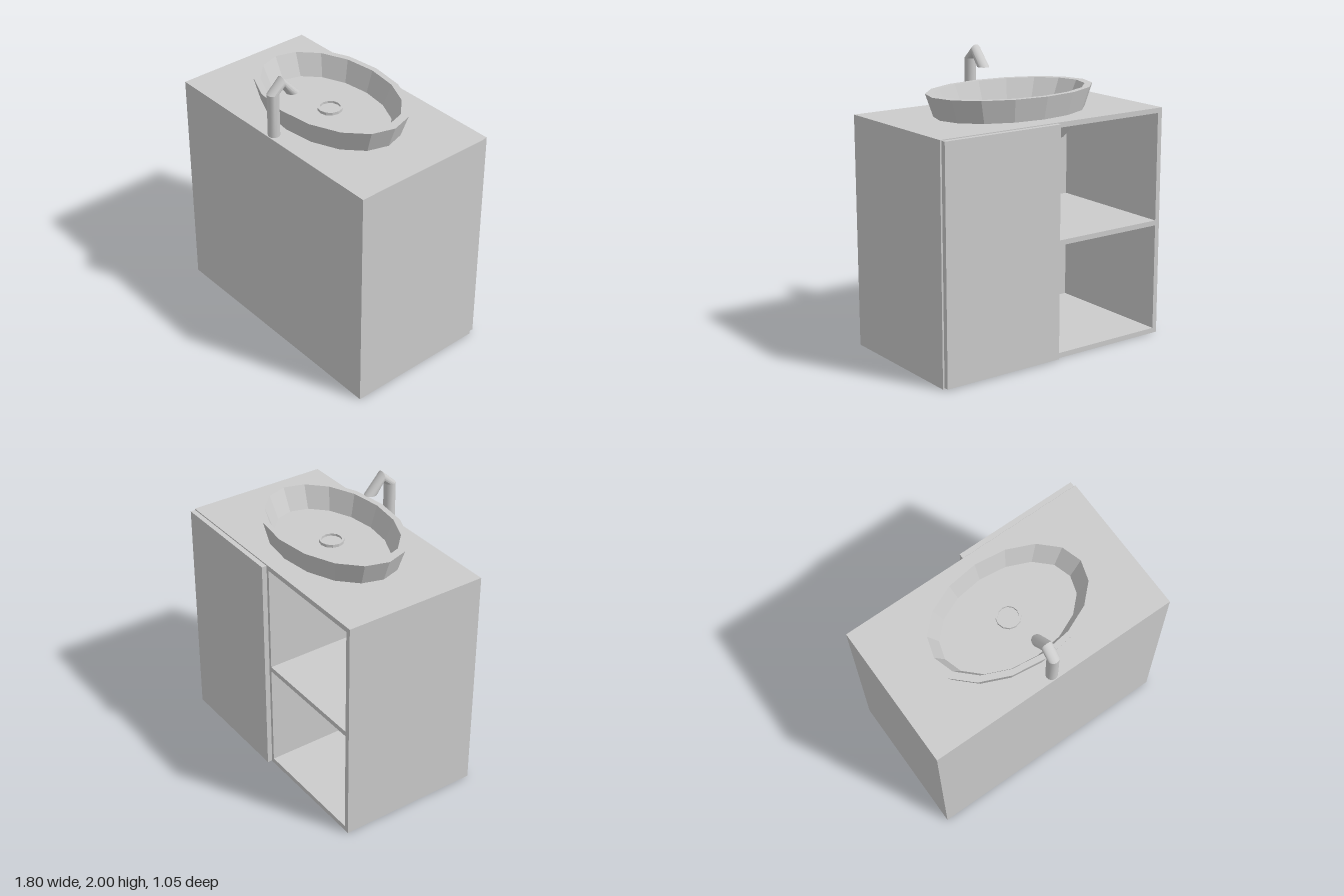
import * as THREE from 'three';
import { toCreasedNormals } from 'three/addons/utils/BufferGeometryUtils.js';

const V = (x, y, z) => new THREE.Vector3(x, y, z);
const smooth = new THREE.MeshStandardMaterial({ color: 0xcccccc });
const faceted = new THREE.MeshStandardMaterial({ color: 0xcccccc, flatShading: true });

// Box given by its limits on each axis
function panel(name, [x0, x1], [y0, y1], [z0, z1]) {
  const mesh = new THREE.Mesh(new THREE.BoxGeometry(x1 - x0, y1 - y0, z1 - z0), smooth);
  mesh.position.set((x0 + x1) / 2, (y0 + y1) / 2, (z0 + z1) / 2);
  mesh.name = name;
  return mesh;
}

// Capped tube through elliptical rings [centre, u, v], with u x v pointing along the path
function loft(name, rings, n) {
  const pos = [], idx = [];
  for (const [c, u, v] of rings)
    for (let j = 0; j < n; j++) {
      const a = (j / n) * Math.PI * 2;
      const p = c.clone().addScaledVector(u, Math.cos(a)).addScaledVector(v, Math.sin(a));
      pos.push(p.x, p.y, p.z);
    }
  const last = (rings.length - 1) * n, start = rings.length * n;
  for (const c of [rings[0][0], rings[rings.length - 1][0]]) pos.push(c.x, c.y, c.z);
  for (let j = 0; j < n; j++) {
    const k = (j + 1) % n;
    for (let i = 0; i < last; i += n) idx.push(i + j, i + k, i + n + k, i + j, i + n + k, i + n + j);
    idx.push(start, k, j, start + 1, last + j, last + k);
  }
  const geo = new THREE.BufferGeometry();
  geo.setAttribute('position', new THREE.Float32BufferAttribute(pos, 3));
  geo.setIndex(idx);
  const mesh = new THREE.Mesh(toCreasedNormals(geo, 0.5), smooth);
  mesh.name = name;
  return mesh;
}

// Rings for a round pipe with mitred corners, starting from axes u and v
function mitre(points, u, v) {
  const dir = points.slice(1).map((p, i) => p.clone().sub(points[i]).normalize());
  return points.map((p, i) => {
    const t = dir[Math.max(i - 1, 0)];
    const n = t.clone().add(dir[Math.min(i, dir.length - 1)]).normalize();
    const project = (w) => w.clone().addScaledVector(t, -w.dot(n) / t.dot(n));
    u = project(u);
    v = project(v);
    return [p, u, v];
  });
}

function lathe(name, profile, sides) {
  const points = profile.map(([r, y]) => new THREE.Vector2(r, y));
  const mesh = new THREE.Mesh(new THREE.LatheGeometry(points, sides), faceted);
  mesh.name = name;
  mesh.position.z = 0.015;
  return mesh;
}

export function createModel() {
  const group = new THREE.Group();

  // Cabinet carcass, open at the back
  const t = 0.035, W = 0.9, H = 1.6, zb = -0.487, zf = 0.525;
  const cabinet = new THREE.Group();
  cabinet.name = 'cabinet';
  const depth = [zb, zf - t], inner = [t, H - t];
  cabinet.add(
    panel('counterTop', [-W, W], [H - t, H], [zb, zf]),
    panel('cabinetBottom', [-W, W], [0, t], [zb, zf]),
    panel('frontPanel', [-W, W], inner, [zf - t, zf]),
    panel('divider', [-t / 2, t / 2], inner, depth));
  for (const s of [-1, 1]) {
    const span = (a, b) => [Math.min(s * a, s * b), Math.max(s * a, s * b)];
    cabinet.add(
      panel(s > 0 ? 'leftSide' : 'rightSide', span(W - t, W), inner, depth),
      panel('shelf', span(t / 2, W - t), [0.78, 0.815], depth));
  }
  cabinet.add(panel('door', [0, 0.89], [0.01, 1.595], [-0.525, -0.49]));
  group.add(cabinet);

  // Oval basin with its bowl continuing under the counter
  const basin = lathe('basin', [[0, 1.33], [0.2, 1.34], [0.42, 1.42], [0.53, 1.53], [0.565, 1.6],
    [0.622, 1.755], [0.562, 1.755], [0.487, 1.605], [0, 1.605]], 16);
  basin.scale.z = 0.65;
  group.add(basin);
  group.add(lathe('drain', [[0.083, 1.6], [0.083, 1.625], [0.068, 1.625], [0.068, 1.609], [0, 1.609]], 12));

  // Faucet: upright, then a bent spout cut level at its tip
  const r = 0.04, side = V(r, 0, 0);
  group.add(loft('faucet', [
    [V(0, H - 0.02, 0.48), V(0, 0, r), side],
    [V(0, 1.9, 0.48), V(0, 0, r), side],
    [V(0, 1.96, 0.412), V(0, r, 0), side],
    [V(0, 1.857, 0.325), V(0, 0, -0.045), side],
  ], 16));

  // Drain pipe turning towards the front panel
  const path = [V(0, 1.42, 0.015), V(0, 1.16, 0.015), V(-0.06, 1.1, 0.05),
    V(-0.27, 1.1, 0.19), V(-0.31, 1.1, 0.27), V(-0.31, 1.1, 0.5)];
  group.add(loft('drainPipe', mitre(path, V(0, 0, -0.075), V(0.075, 0, 0)), 10));

  return group;
}
